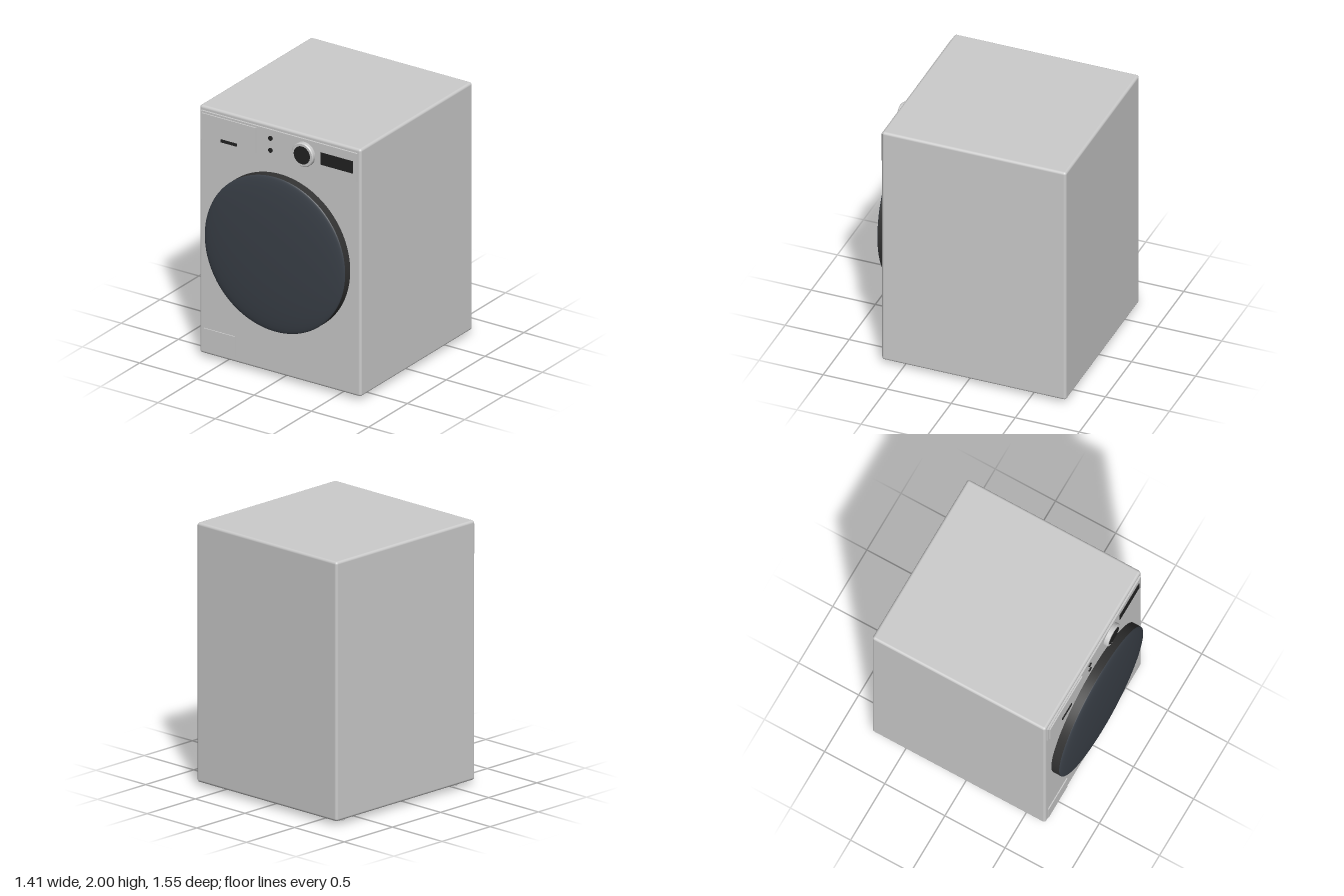
import * as THREE from 'three';
import { RoundedBoxGeometry } from 'three/addons/geometries/RoundedBoxGeometry.js';

const material = (color) => new THREE.MeshStandardMaterial({ color });

export function createModel() {
  const model = new THREE.Group();
  const grey = material(0xcccccc);
  const black = material(0x222222);
  const rimDark = material(0x333333);
  const glass = material(0x3a4048);
  const front = 0.665;

  const add = (name, geometry, mat, x, y, z) => {
    const mesh = new THREE.Mesh(geometry, mat);
    mesh.name = name;
    mesh.position.set(x, y, z);
    model.add(mesh);
    return mesh;
  };
  // Box given by its limits on each axis
  const slab = (name, mat, x0, x1, y0, y1, z0, z1) =>
    add(name, new THREE.BoxGeometry(x1 - x0, y1 - y0, z1 - z0), mat,
      (x0 + x1) / 2, (y0 + y1) / 2, (z0 + z1) / 2);
  // Turned part whose axis points to the front; profile is [radius, depth]
  const turned = (name, mat, profile, x, y, z, segments = 48) => {
    const points = profile.map(([r, d]) => new THREE.Vector2(r, d));
    const geometry = new THREE.LatheGeometry(points, segments).rotateX(Math.PI / 2);
    return add(name, geometry, mat, x, y, z);
  };
  const disc = (name, mat, radius, x, y, z0, z1) =>
    add(name, new THREE.CylinderGeometry(radius, radius, z1 - z0, 32).rotateX(Math.PI / 2),
      mat, x, y, (z0 + z1) / 2);

  // Cabinet
  add('cabinet', new RoundedBoxGeometry(1.41, 1.965, 1.44, 4, 0.02), grey, 0, 1.0175, -0.055);

  // Feet
  for (const x of [-0.587, 0.587]) {
    for (const z of [-0.635, 0.533]) {
      add('foot', new THREE.CylinderGeometry(0.047, 0.047, 0.045, 24), grey, x, 0.0225, z);
    }
  }

  // Control panel with detergent drawer, lights and display
  slab('controlPanel', grey, -0.682, 0.678, 1.738, 1.967, front - 0.01, 0.678);
  slab('detergentDrawer', grey, -0.668, -0.197, 1.752, 1.952, 0.67, 0.688);
  slab('drawerHandle', black, -0.5, -0.36, 1.765, 1.787, 0.68, 0.695);
  for (const y of [1.805, 1.9]) disc('indicatorButton', black, 0.018, -0.073, y, 0.67, 0.685);
  slab('display', black, 0.363, 0.645, 1.803, 1.9, 0.67, 0.682);

  // Program knob: slightly tapered, with a dark face
  turned('programKnob', grey, [[0.094, 0], [0.094, 0.028]], 0.222, 1.852, 0.675);
  turned('knobChamfer', grey, [[0.094, 0.028], [0.088, 0.036]], 0.222, 1.852, 0.675);
  turned('knobTop', grey, [[0.088, 0.036], [0, 0.036]], 0.222, 1.852, 0.675);
  disc('knobFace', black, 0.07, 0.222, 1.852, 0.7, 0.714);

  // Door: straight rim and a shallow domed glass
  turned('doorRim', rimDark, [[0.613, 0], [0.613, 0.066]], 0, 1.016, front - 0.001, 96);
  const dome = [];
  for (let i = 0; i <= 20; i++) {
    const a = (i / 20) * Math.PI / 2;
    dome.push([0.613 * Math.cos(a), 0.045 * Math.sin(a)]);
  }
  dome[20][0] = 0;
  turned('doorGlass', glass, dome, 0, 1.016, 0.73, 96);

  // Filter flap at the bottom of the front
  slab('filterFlap', grey, -0.665, -0.39, 0.072, 0.24, front - 0.01, 0.673);

  return model;
}
